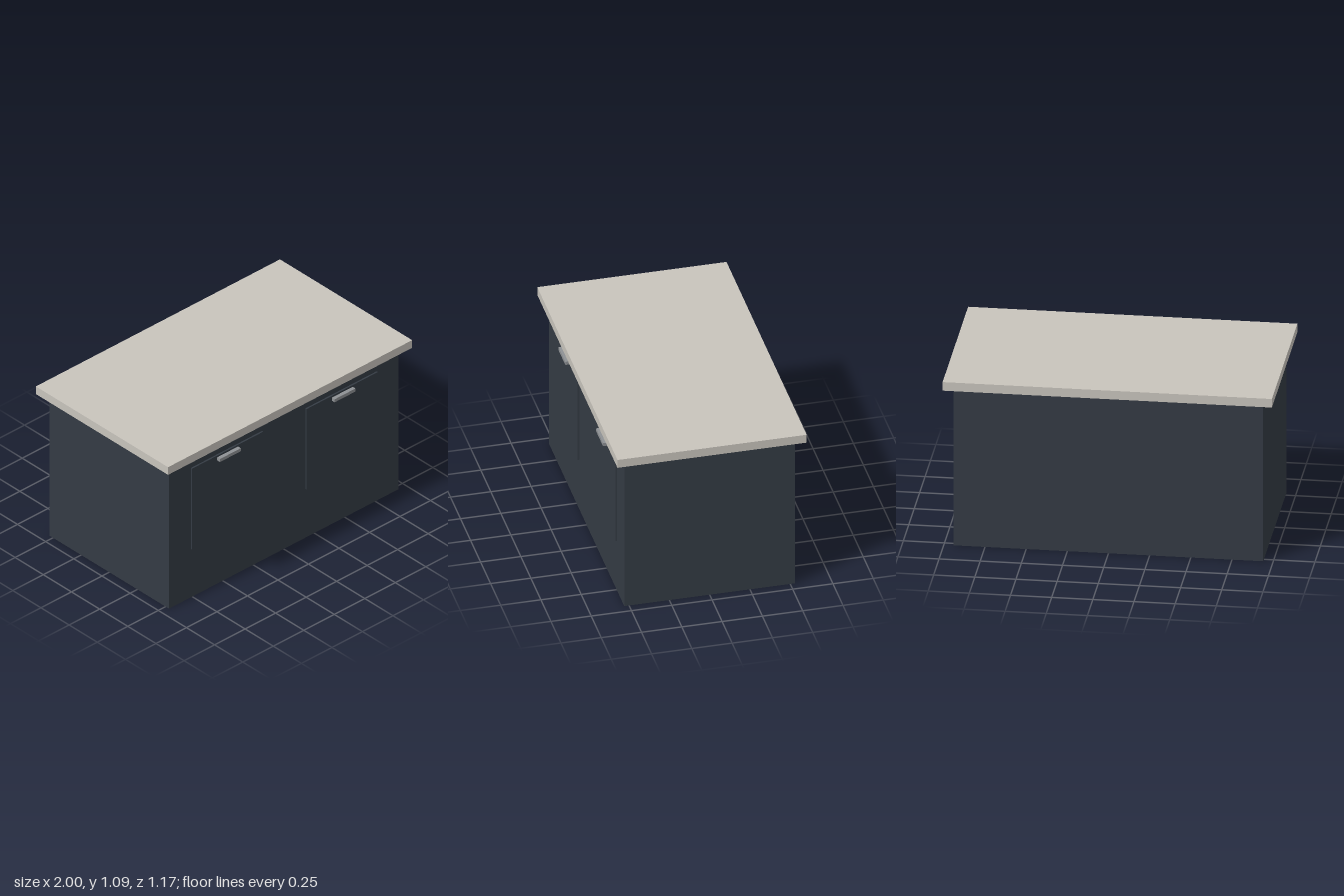
import * as THREE from 'three';

const paint = (color) => new THREE.MeshStandardMaterial({ color });

export function createModel() {
  const model = new THREE.Group();
  model.name = 'kitchenIsland';

  const navy = paint(0x343b44);
  const stone = paint(0xc8c4bc);
  const dark = paint(0x333335);
  const metal = paint(0x8e9194);

  // Box from its width, bottom/top heights and back/front depths
  function box(name, material, x, width, y0, y1, z0, z1, parent = model) {
    const mesh = new THREE.Mesh(new THREE.BoxGeometry(width, y1 - y0, z1 - z0), material);
    mesh.name = name;
    mesh.position.set(x, (y0 + y1) / 2, (z0 + z1) / 2);
    parent.add(mesh);
    return mesh;
  }

  // Cabinet, trim under the slab, and overhanging worktop
  box('cabinetBody', navy, 0, 1.88, 0, 1.017, -0.53, 0.53);
  box('topTrim', dark, 0, 1.9, 1.017, 1.032, -0.54, 0.54);
  box('worktop', stone, 0, 2, 1.032, 1.088, -0.587, 0.587);

  // Two front doors, each with a bar handle near the top
  for (const side of [-1, 1]) {
    const door = new THREE.Group();
    door.name = side < 0 ? 'rightDoor' : 'leftDoor';
    door.position.x = side * 0.47;
    box('doorPanel', navy, 0, 0.583, 0.355, 0.943, 0.53, 0.541, door);
    box('handle', metal, 0, 0.171, 0.909, 0.931, 0.541, 0.566, door);
    model.add(door);
  }

  return model;
}
